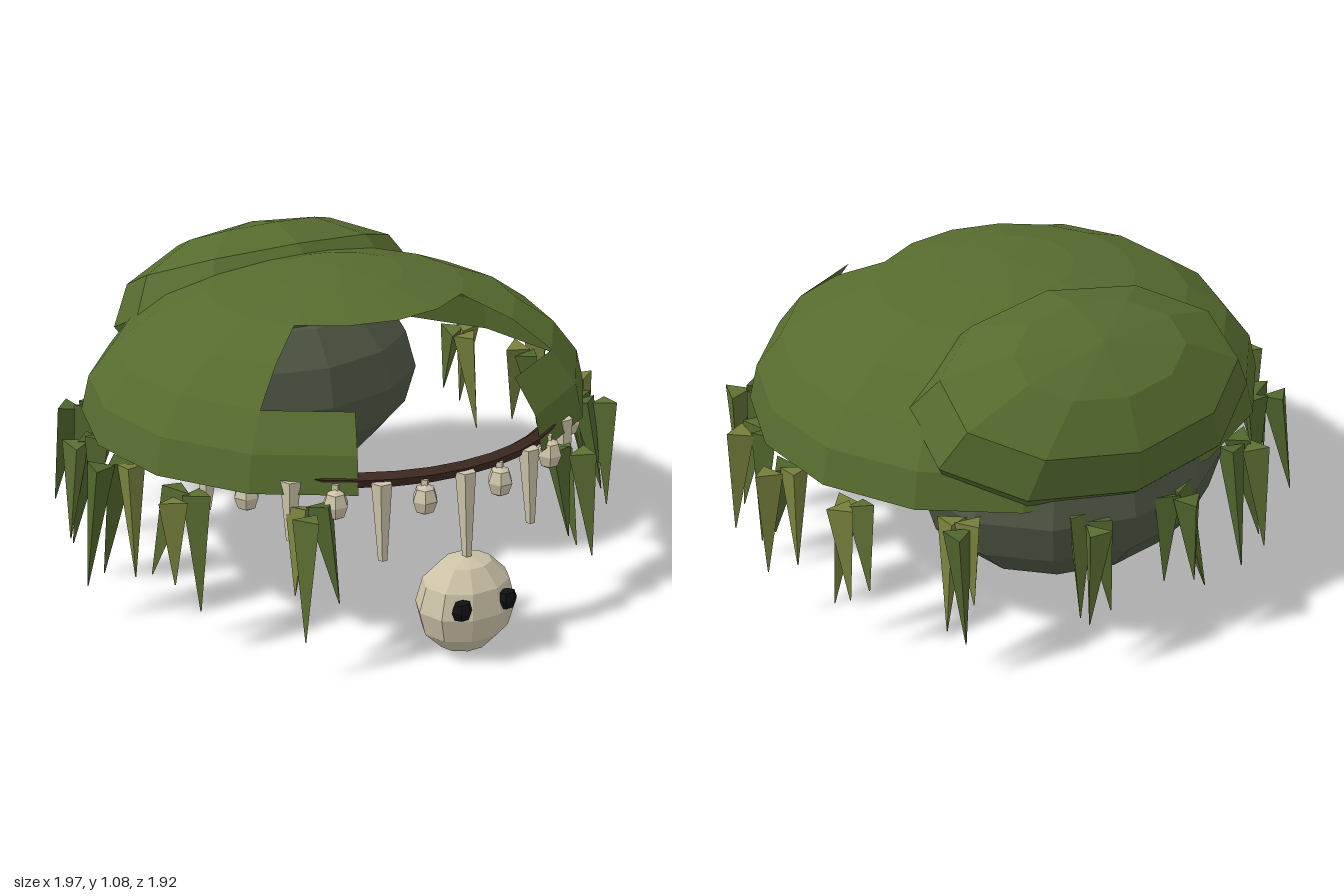
import * as THREE from 'three';

const mat = (color, side = THREE.FrontSide) =>
  new THREE.MeshStandardMaterial({ color, flatShading: true, side });
const green = mat(0x566b2f, THREE.DoubleSide);
const leafGreens = [mat(0x4f652c), mat(0x5d7033), mat(0x77803c)];
const stone = mat(0x4f5844);
const brown = mat(0x3f2a22);
const bone = mat(0xcdc3a8);
const black = mat(0x111111);

const rad = THREE.MathUtils.degToRad;
const DOWN = new THREE.Vector3(0, -1, 0);

function add(parent, name, geometry, material, x = 0, y = 0, z = 0) {
  const mesh = new THREE.Mesh(geometry, material);
  mesh.name = name;
  mesh.position.set(x, y, z);
  parent.add(mesh);
  return mesh;
}

function seeded(seed) {
  return () => {
    seed = (seed * 16807) % 2147483647;
    return seed / 2147483647;
  };
}

// Point on an oval around the model; angle 0 is the front, positive toward the left
const around = (deg, y, rx, rz = rx) =>
  new THREE.Vector3(Math.sin(rad(deg)) * rx, y, Math.cos(rad(deg)) * rz);

// Tapered spike from top (radius r2 at the tip) pointing along top to tip
function spike(parent, name, top, tip, r, r2, sides, material, twist = 0) {
  const dir = tip.clone().sub(top);
  const geo = new THREE.CylinderGeometry(r2, r, dir.length(), sides);
  geo.rotateX(Math.PI);
  geo.rotateY(twist);
  const mesh = add(parent, name, geo, material);
  mesh.position.copy(top).add(tip).multiplyScalar(0.5);
  mesh.quaternion.setFromUnitVectors(DOWN, dir.normalize());
}

export function createModel() {
  const model = new THREE.Group();

  // Canopy: three bands of a dome, the lower two open at the front
  const canopy = new THREE.Group();
  canopy.name = 'canopy';
  for (const [name, segs, gap, theta] of [
    ['canopyTop', 16, 0, 0],
    ['canopyShoulder', 12, 90, 30],
    ['canopySkirt', 14, 45, 60],
  ]) {
    const geo = new THREE.SphereGeometry(
      1, segs, 2, rad(90 + gap / 2), rad(360 - gap), rad(theta), rad(30));
    geo.scale(0.885, 0.465, 0.81);
    add(canopy, name, geo, green, 0, 0.575, 0);
  }
  model.add(canopy);

  // Rear hood: a flattened ball tipped backward through the canopy and body
  const hood = new THREE.SphereGeometry(1, 10, 6, rad(90));
  hood.scale(0.59, 0.28, 0.38);
  add(model, 'rearHood', hood, green, 0, 0.778, -0.512).rotation.x = rad(-25.5);

  // Rounded body under the back
  const body = new THREE.SphereGeometry(1, 12, 8);
  body.scale(0.53, 0.36, 0.418);
  add(model, 'body', body, stone, 0, 0.518, -0.44);

  // Cord across the front opening, running on inside the canopy
  const cordPoints = [];
  for (let a = -74; a <= 74; a += 9.25) cordPoints.push(around(a, 0.615, 0.745, 0.802));
  add(model, 'cord', new THREE.TubeGeometry(
    new THREE.CatmullRomCurve3(cordPoints), 18, 0.025, 5), brown);

  // Alternating teeth and beads along the cord
  const pendants = new THREE.Group();
  pendants.name = 'pendants';
  for (let i = -6; i <= 6; i++) {
    const a = i * 10.2, k = Math.abs(i);
    if (k % 2) {
      const p = around(a, 0.545, 0.78, 0.825);
      const bead = add(pendants, 'bead', new THREE.SphereGeometry(0.043, 6, 4), bone, p.x, p.y, p.z);
      bead.scale.y = 1.25;
      spike(pendants, 'beadLoop', around(a, 0.61, 0.775, 0.82), p, 0.014, 0.014, 4, bone);
    } else {
      const bottom = [0.33, 0.36, 0.42, 0.47][k / 2];
      spike(pendants, 'tooth', around(a, 0.615, 0.775, 0.825), around(a, bottom, 0.79, 0.845),
        0.034, 0.015, 5, bone);
    }
  }
  model.add(pendants);

  // Skull charm with dark eyes
  const skull = new THREE.Group();
  skull.name = 'skullCharm';
  const head = new THREE.SphereGeometry(1, 10, 6);
  head.scale(0.17, 0.167, 0.135);
  add(skull, 'skull', head, bone, 0, 0.17, 0.843);
  for (const s of [-1, 1]) {
    const eye = add(skull, 'eye', new THREE.SphereGeometry(0.038, 6, 4), black, s * 0.083, 0.207, 0.953);
    eye.scale.z = 0.7;
  }
  model.add(skull);

  // Clusters of pointed leaves under the rim: two tucked in, one splayed outward
  const rand = seeded(41);
  const jitter = (s) => (rand() - 0.5) * 2 * s;
  const leaves = new THREE.Group();
  leaves.name = 'leaves';
  for (const a of [35, 60, 80, 100, 121, 145, 170]) {
    for (const s of [-1, 1]) {
      const angle = s * (a + jitter(2));
      const cluster = new THREE.Group();
      cluster.name = 'leafCluster';
      for (let i = -1; i <= 1; i++) {
        const r = (i === 0 ? 0.03 : -0.045) + jitter(0.015);
        const lean = r + 0.02 + rand() * 0.06;
        const top = around(angle + i * 2.2, 0.56 - rand() * 0.03, 0.9 + r, 0.86 + r);
        const tip = around(angle + i * 4.5 + jitter(2), 0.13 + rand() * 0.15, 0.9 + lean, 0.87 + lean);
        spike(cluster, 'leaf', top, tip, 0.052, 0.002, 3,
          leafGreens[Math.floor(rand() * 2.5)], rand() * 6);
      }
      leaves.add(cluster);
    }
  }
  model.add(leaves);

  return model;
}
